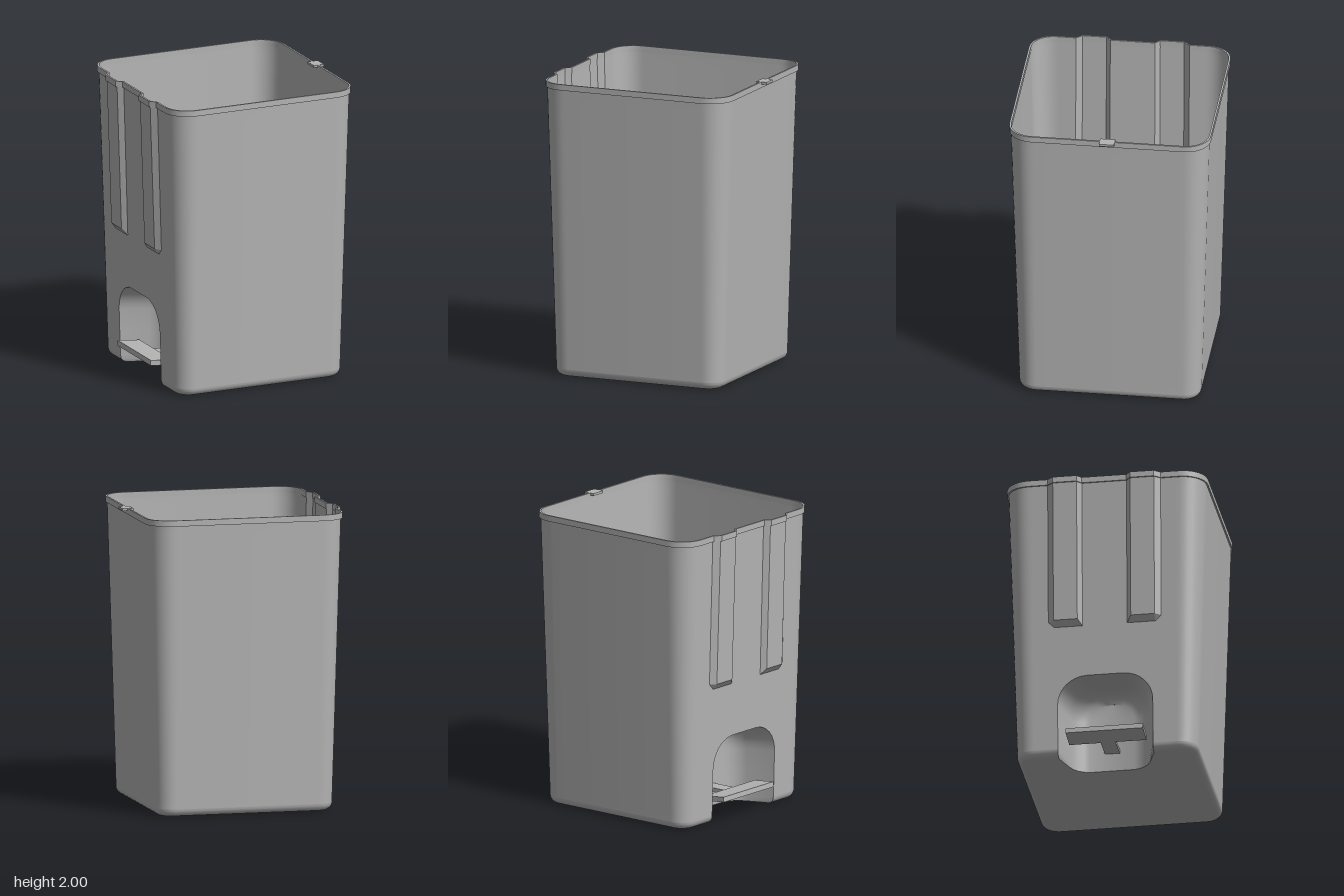
import * as THREE from 'three';
import { toCreasedNormals } from 'three/addons/utils/BufferGeometryUtils.js';

const FILLET = 0.05, TOP = 1.96, MOUTH = 0.32, PANEL = 0.48;
const RIB = { in: 0.15, inTop: 0.18, outTop: 0.34, out: 0.38, foot: 0.93, depth: 0.035 };

// half width of the tapered body at height y, with a rounded bottom edge
const half = (y) => y < FILLET
  ? 0.56 + FILLET * Math.sqrt(1 - (1 - y / FILLET) ** 2)
  : 0.61 + (y - FILLET) * 0.0288;

// open rounded-square outline [x, z], starting and ending on the -x side
function outline(h, y) {
  const c = 0.49 + 0.01 * y, r = h - c, pts = [[-h, MOUTH]];
  // quarter turns: -x/+z, +x/+z, +x/-z, -x/-z
  [[-1, 1], [1, 1], [1, -1], [-1, -1]].forEach(([sx, sz], k) => {
    const start = Math.PI - k * Math.PI / 2;
    const side = [[-h, PANEL], [-PANEL, h], [h, PANEL], [PANEL, -h]][k];
    pts.push(side);
    for (let i = 0; i <= 8; i++) {
      const a = start - (i / 8) * Math.PI / 2;
      pts.push([sx * c + r * Math.cos(a), sz * c + r * Math.sin(a)]);
    }
    pts.push([[-PANEL, h], [h, PANEL], [PANEL, -h], [-h, -PANEL]][k]);
  });
  pts.push([-h, -MOUTH]);
  return pts;
}

// skin through rows of [x, y, z] points
function loft(rows, closed = false, crease = 0.6) {
  const n = rows[0].length, index = [];
  for (let r = 0; r < rows.length - 1; r++) {
    for (let i = 0; i < (closed ? n : n - 1); i++) {
      const a = r * n + i, b = r * n + (i + 1) % n;
      index.push(a, b, b + n, a, b + n, a + n);
    }
  }
  const g = new THREE.BufferGeometry();
  g.setAttribute('position', new THREE.Float32BufferAttribute(rows.flat(2), 3));
  g.setIndex(index);
  return toCreasedNormals(g, crease);
}

// arch in [z, y], from left foot over the top to right foot
function arch(w, h, r) {
  const left = [0, 0.006, 0.02, FILLET, 0.2].map((y) => [-w, y]);
  for (let i = 0; i <= 8; i++) {
    const a = Math.PI - (i / 8) * Math.PI / 2;
    left.push([-w + r + r * Math.cos(a), h - r + r * Math.sin(a)]);
  }
  return [...left, ...left.map(([z, y]) => [-z, y]).reverse()];
}

const toShape = (pts) => new THREE.Shape(pts.map(([a, b]) => new THREE.Vector2(a, b)));

export function createModel() {
  const group = new THREE.Group();
  const grey = new THREE.MeshStandardMaterial({ color: 0xb4b4b4, side: THREE.DoubleSide });
  grey.name = 'grey plastic';
  const add = (name, geometry) => {
    const mesh = new THREE.Mesh(geometry, grey);
    mesh.name = name;
    group.add(mesh);
    return mesh;
  };

  // rounded bottom edge, left open at the pedal recess
  const ring = (y) => outline(half(y), y).map(([x, z]) => [x, y, z]);
  const edge = [];
  for (let i = 0; i <= 6; i++) edge.push(ring(FILLET * (1 - Math.cos(i / 6 * Math.PI / 2))));
  add('bottomEdge', loft(edge));

  // tapered walls on three sides and all corners
  add('walls', loft([FILLET, 0.1, 1, 1.9, TOP].map((y) => ring(y).slice(1, -1))));

  // pedal-side panel with an arched opening and two rib slots
  const mouth = arch(MOUTH, 0.57, 0.2);
  const slot = (s) => [[RIB.out, TOP], [RIB.out, RIB.foot], [RIB.in, RIB.foot], [RIB.in, TOP]]
    .map(([z, y]) => [s * z, y]);
  const panel = new THREE.ShapeGeometry(toShape([
    [-PANEL, FILLET], ...mouth.filter(([, y]) => y >= FILLET), [PANEL, FILLET],
    [PANEL, TOP], ...slot(1), ...slot(-1).reverse(), [-PANEL, TOP],
  ]));
  const pos = panel.attributes.position;
  for (let i = 0; i < pos.count; i++) {
    const z = pos.getX(i), y = pos.getY(i);
    pos.setXYZ(i, -half(y), y, z);
  }
  panel.computeVertexNormals();
  add('pedalSidePanel', panel);

  // hollow vertical ribs, fading into the wall at the foot
  for (const s of [1, -1]) {
    const rows = [[RIB.foot, 0], [0.97, 0.031], [TOP, RIB.depth]].map(([y, d]) =>
      [[RIB.in, 0], [RIB.inTop, d], [RIB.outTop, d], [RIB.out, 0]]
        .map(([z, out]) => [-half(y) - out, y, s * z]));
    add(s > 0 ? 'frontRib' : 'backRib', loft(rows, false, 0.3));
  }

  // pedal recess: arches shrinking towards a rounded back
  const depths = [[-0.42, 0.27, 0.56], [-0.38, 0.25, 0.552], [-0.35, 0.222, 0.535],
    [-0.33, 0.19, 0.515], [-0.318, 0.15, 0.485]];
  const recess = [mouth.map(([z, y]) => [-half(y), y, z])];
  for (const [x, w, h] of depths) {
    recess.push(arch(w, h, Math.min(0.2, w * 0.8)).map(([z, y]) => [x, y, z]));
  }
  recess.push(recess[recess.length - 1].map(([, y]) => [-0.315, y, 0]));
  add('pedalRecess', loft(recess, false, 0.9));

  // floor, cut away under the recess
  const plan = depths.map(([x, w]) => [x, w]);
  const floor = new THREE.ShapeGeometry(toShape([
    ...outline(half(0), 0), ...plan.map(([x, w]) => [x, -w]), ...plan.reverse(),
  ]));
  add('floor', floor.rotateX(Math.PI / 2));

  // rim band that follows the walls and steps out around the ribs
  const ribSteps = [[RIB.out, 0], [RIB.outTop, 1], [RIB.inTop, 1], [RIB.in, 0]];
  const rimRow = ([offset, y]) => {
    const h = half(TOP) + offset;
    const steps = [...ribSteps.map(([z, k]) => [-h - k * RIB.depth, -z]),
      ...ribSteps.map(([z, k]) => [-h - k * RIB.depth, z]).reverse()];
    return [...outline(h, TOP).slice(1, -1), ...steps].map(([x, z]) => [x, y, z]);
  };
  add('rim', loft([[0, TOP], [0.01, TOP], [0.01, 2], [-0.003, 2], [-0.003, TOP], [0, TOP]]
    .map(rimRow), true, 0.5));

  // small catch opposite the pedal
  add('lidCatch', new THREE.BoxGeometry(0.075, 0.016, 0.1)).position.set(0.673, 1.992, 0);

  // pedal plate and its arm
  const pedal = add('pedal', new THREE.BoxGeometry(0.16, 0.035, 0.52));
  pedal.position.set(-0.58, 0.15, 0);
  pedal.rotation.z = -0.1;
  add('pedalArm', new THREE.BoxGeometry(0.2, 0.025, 0.1)).position.set(-0.41, 0.14, 0);

  return group;
}
